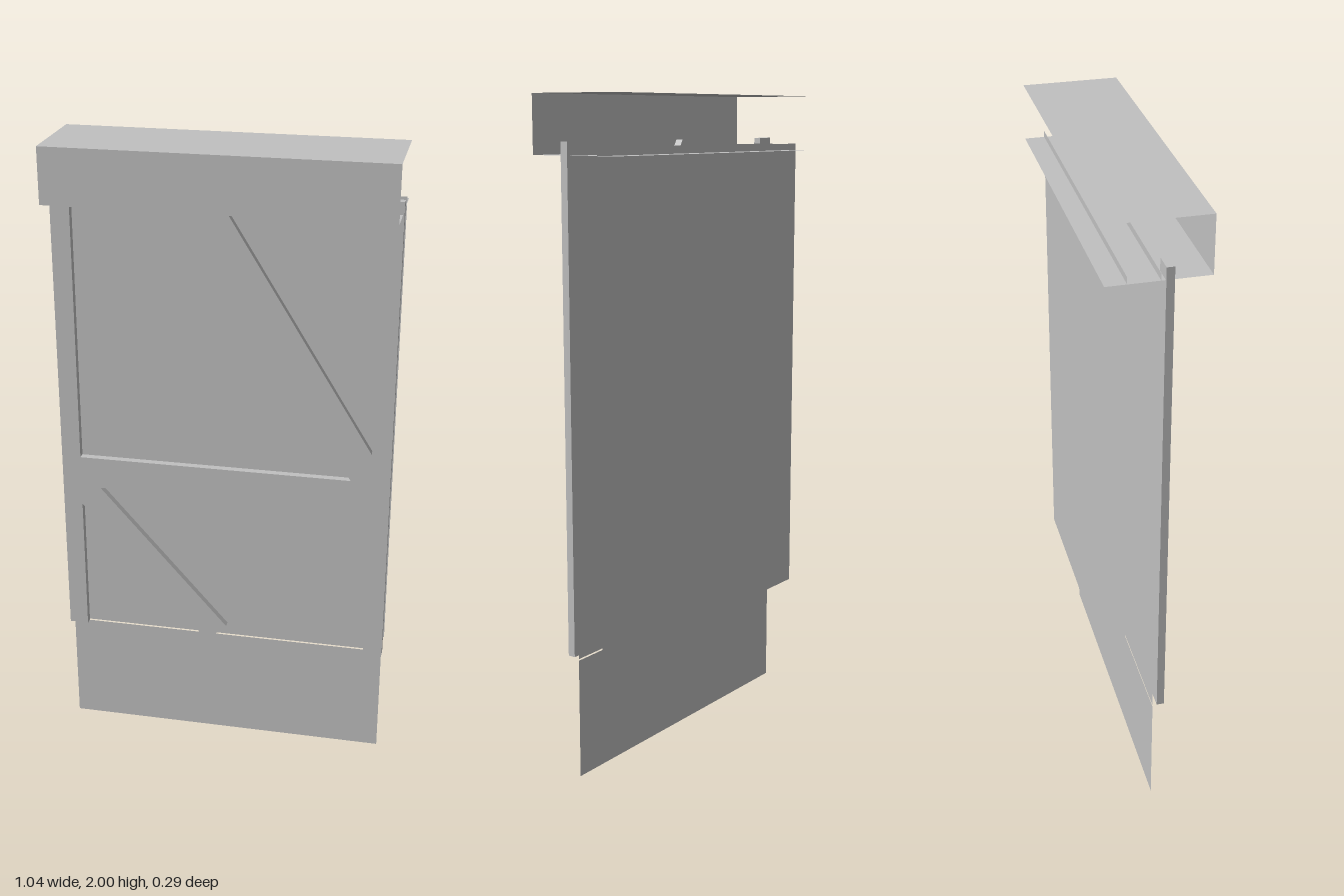
import * as THREE from 'three';

export function createModel() {
  const model = new THREE.Group();
  const gray = new THREE.MeshStandardMaterial({ color: 0xc0c0c0, side: THREE.DoubleSide });
  gray.name = 'plain gray';
  const W = 1.035, D = 0.29;
  const frameBack = 0.017, frameDepth = 0.023;

  function add(name, geometry, x, y, z) {
    const mesh = new THREE.Mesh(geometry, gray);
    mesh.name = name;
    mesh.position.set(x, y, z);
    model.add(mesh);
    return mesh;
  }
  // Thin upright sheet between two heights
  const sheet = (name, y0, y1, z) =>
    add(name, new THREE.PlaneGeometry(W, y1 - y0), 0, (y0 + y1) / 2, z);
  // Thin level sheet
  const shelf = (name, y) =>
    add(name, new THREE.PlaneGeometry(W, D).rotateX(-Math.PI / 2), 0, y, 0);
  // Flat timber cut to an outline
  function timber(name, points) {
    const shape = new THREE.Shape(points.map(([x, y]) => new THREE.Vector2(x, y)));
    const geometry = new THREE.ExtrudeGeometry(shape, { depth: frameDepth, bevelEnabled: false });
    add(name, geometry, 0, 0, frameBack);
  }

  // Header cover, open at the back and ends
  shelf('headerTop', 2);
  shelf('headerShelf', 1.83);
  sheet('headerFront', 1.83, 2, D / 2);

  // Door skins and skirt
  sheet('backPanel', 0.365, 1.85, -0.085);
  sheet('doorPanel', 0.37, 1.85, 0.005);
  sheet('skirtPanel', 0, 0.365, 0.005);

  // Upright posts
  for (const [name, s] of [['leftPost', 1], ['rightPost', -1]]) {
    add(name, new THREE.BoxGeometry(0.06, 1.493, frameDepth),
      s * 0.492, 0.375 + 1.493 / 2, frameBack + frameDepth / 2);
  }

  // Middle rail and the two diagonal braces
  timber('middleRail', [[-0.462, 0.885], [0.462, 0.885], [0.462, 0.987], [-0.462, 0.987]]);
  timber('upperBrace', [[-0.115, 1.815], [0.4, 0.987], [0.462, 0.987], [0.462, 1.08], [-0.025, 1.868]]);
  timber('lowerBrace', [[-0.462, 0.822], [-0.055, 0.36], [0.01, 0.42], [-0.4, 0.885], [-0.462, 0.885]]);

  return model;
}
